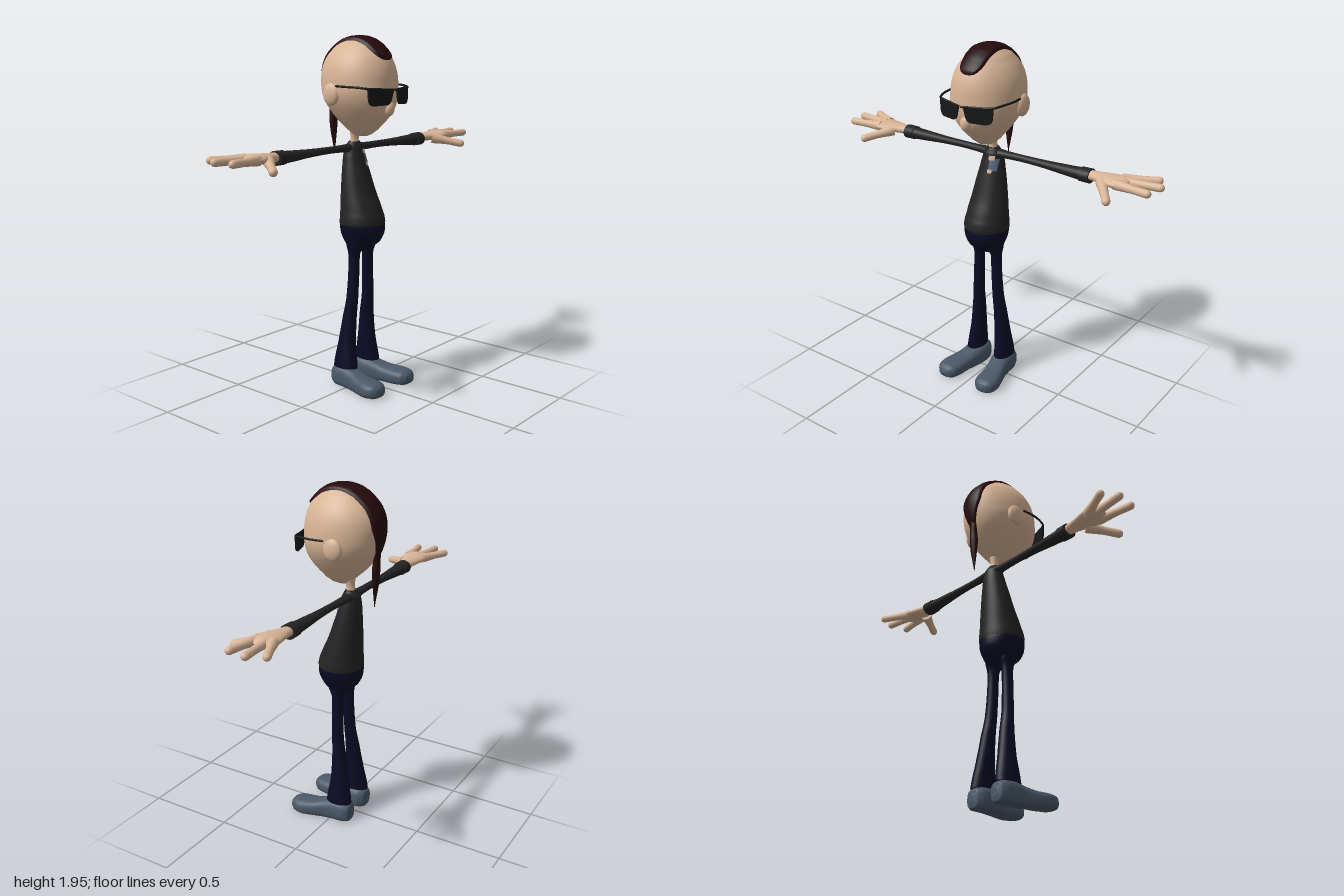
import * as THREE from 'three';

const material = (name, color) => Object.assign(new THREE.MeshStandardMaterial({ color }), { name });

// Catmull-Rom refinement of a list of cross-sections
function refine(rows, steps = 5) {
  const out = [];
  const cr = (a, b, c, d, t) =>
    0.5 * (2 * b + (c - a) * t + (2 * a - 5 * b + 4 * c - d) * t * t + (3 * b - a - 3 * c + d) * t * t * t);
  for (let i = 0; i < rows.length - 1; i++) {
    const a = rows[Math.max(i - 1, 0)], b = rows[i], c = rows[i + 1], d = rows[Math.min(i + 2, rows.length - 1)];
    for (let k = 0; k < steps; k++) {
      const t = k / steps;
      out.push(b.map((v, j) => (j === 0 ? v + (c[0] - v) * t : cr(a[j], v, c[j], d[j], t))));
    }
  }
  out.push(rows[rows.length - 1]);
  return out;
}

// Skin over sections [position, centre1, centre2, radius1, radius2] along axis 0, 1 or 2;
// 1 and 2 are the next two axes in cyclic order, and positions ascend
function loft(axis, rows, { sides = 28, power = 1, floor = -1 } = {}) {
  const secs = refine(rows), pos = [], idx = [];
  const bend = (v) => Math.sign(v) * Math.abs(v) ** power;
  const push = (t, a, b) => {
    const p = [0, 0, 0];
    p[axis] = t; p[(axis + 1) % 3] = a; p[(axis + 2) % 3] = b;
    p[1] = Math.max(p[1], floor);
    pos.push(...p);
  };
  const ring = ([t, c1, c2, r1, r2]) => {
    for (let j = 0; j < sides; j++) {
      const a = (j / sides) * Math.PI * 2;
      push(t, c1 + r1 * bend(Math.cos(a)), c2 + r2 * bend(Math.sin(a)));
    }
  };
  secs.forEach(ring);
  for (let i = 0; i < secs.length - 1; i++) for (let j = 0; j < sides; j++) {
    const a = i * sides + j, b = i * sides + (j + 1) % sides;
    idx.push(a, b, b + sides, a, b + sides, a + sides);
  }
  // end caps with their own vertices
  [secs[0], secs[secs.length - 1]].forEach((s, end) => {
    const base = pos.length / 3;
    ring(s);
    push(s[0], s[1], s[2]);
    for (let j = 0; j < sides; j++) {
      const a = base + j, b = base + (j + 1) % sides;
      idx.push(base + sides, ...(end ? [a, b] : [b, a]));
    }
  });
  return surface(pos, idx);
}

function surface(pos, idx) {
  const g = new THREE.BufferGeometry();
  g.setAttribute('position', new THREE.Float32BufferAttribute(pos, 3));
  g.setIndex(idx);
  g.computeVertexNormals();
  return g;
}

// Mirror a geometry in x, keeping its faces outward
function mirrored(geo) {
  const g = geo.clone().scale(-1, 1, 1);
  const src = g.index ? Array.from(g.index.array) : Array.from({ length: g.attributes.position.count }, (_, i) => i);
  for (let i = 0; i < src.length; i += 3) [src[i + 1], src[i + 2]] = [src[i + 2], src[i + 1]];
  g.setIndex(src);
  return g;
}

// Round-ended tapering finger from a to b
function finger(a, b, r0, r1) {
  const from = new THREE.Vector3(...a), d = new THREE.Vector3(...b).sub(from), L = d.length();
  const g = loft(0, [[0, 0, 0, r0, r0], [L * 0.5, 0, 0, r1, r1], [L - r1, 0, 0, r1, r1],
    [L - r1 * 0.4, 0, 0, r1 * 0.8, r1 * 0.8], [L - r1 * 0.1, 0, 0, r1 * 0.42, r1 * 0.42], [L, 0, 0, 0.001, 0.001]], { sides: 16 });
  g.applyQuaternion(new THREE.Quaternion().setFromUnitVectors(new THREE.Vector3(1, 0, 0), d.normalize()));
  return g.translate(...a);
}

const ball = (x, y, z, rx, ry, rz) => new THREE.SphereGeometry(1, 24, 16).scale(rx, ry, rz).translate(x, y, z);
// Section given as height, half width, front z and back z
const upright = ([y, rx, front, back]) => [y, (front + back) / 2, 0, (front - back) / 2, rx];

const HEAD = [[1.415, 0.025, 0.035, -0.04], [1.425, 0.045, 0.06, -0.055], [1.45, 0.075, 0.095, -0.085],
  [1.5, 0.115, 0.145, -0.14], [1.55, 0.15, 0.183, -0.182], [1.6, 0.178, 0.2, -0.212], [1.65, 0.193, 0.205, -0.228],
  [1.7, 0.193, 0.204, -0.236], [1.75, 0.187, 0.2, -0.236], [1.8, 0.173, 0.187, -0.226], [1.85, 0.147, 0.162, -0.2],
  [1.9, 0.108, 0.116, -0.152], [1.925, 0.077, 0.078, -0.112], [1.94, 0.042, 0.035, -0.066], [1.945, 0.003, -0.01, -0.016]].map(upright);
const TORSO = [[0.93, 0.127, 0.13, -0.122], [0.95, 0.127, 0.13, -0.122], [1, 0.119, 0.114, -0.12], [1.1, 0.104, 0.07, -0.118],
  [1.2, 0.087, 0.035, -0.116], [1.3, 0.067, 0.004, -0.113], [1.35, 0.055, -0.01, -0.105], [1.37, 0.042, -0.02, -0.092],
  [1.382, 0.034, -0.026, -0.084]].map(upright);

// Linear lookup of a section at height y
function sectionAt(secs, y) {
  const i = secs.findIndex((s, k) => k < secs.length - 1 && y >= s[0] && y <= secs[k + 1][0]);
  if (i < 0) return null;
  const t = (y - secs[i][0]) / (secs[i + 1][0] - secs[i][0]);
  return secs[i].map((v, j) => v + (secs[i + 1][j] - v) * t);
}

// Strip of hair wrapped over the skull, front to nape
function hairStrip() {
  const secs = refine(HEAD), C = new THREE.Vector3(0, 1.69, -0.018), pos = [], idx = [], N = 48, M = 14;
  const inside = (p) => {
    const s = sectionAt(secs, p.y);
    return s && ((p.z - s[1]) / s[3]) ** 2 + (p.x / s[4]) ** 2 < 1;
  };
  for (let i = 0; i <= N; i++) {
    const u = i / N, phi = THREE.MathUtils.degToRad(33 + u * 180);
    const front = Math.sqrt(1 - (1 - Math.min(u / 0.12, 1)) ** 2), back = Math.min(1, 0.12 + (1 - u) / 0.3);
    const w = (0.3 + 0.08 * u) * front * back + 0.004;
    for (let j = 0; j <= M; j++) {
      const s = (j / M) * 2 - 1, b = s * w;
      const d = new THREE.Vector3(Math.sin(b), Math.cos(b) * Math.sin(phi), Math.cos(b) * Math.cos(phi));
      let lo = 0, hi = 0.4;
      for (let k = 0; k < 22; k++) {
        const m = (lo + hi) / 2;
        if (inside(C.clone().addScaledVector(d, m))) lo = m; else hi = m;
      }
      const lift = i === 0 || i === N || Math.abs(s) === 1 ? -0.006 : 0.01;
      pos.push(...C.clone().addScaledVector(d, lo + lift).toArray());
      if (i < N && j < M) {
        const a = i * (M + 1) + j, c = a + M + 1;
        idx.push(a, a + 1, c + 1, a, c + 1, c);
      }
    }
  }
  return surface(pos, idx);
}

// Thin patch lying on the front of the shirt
function shirtPatch(x0, x1, y0, y1, lift) {
  const g = new THREE.PlaneGeometry(x1 - x0, y1 - y0, 6, 6).translate((x0 + x1) / 2, (y0 + y1) / 2, 0);
  const p = g.attributes.position, secs = refine(TORSO);
  for (let i = 0; i < p.count; i++) {
    const s = sectionAt(secs, p.getY(i));
    p.setZ(i, s[1] + s[3] * Math.sqrt(Math.max(0, 1 - (p.getX(i) / s[4]) ** 2)) + lift);
  }
  g.computeVertexNormals();
  return g;
}

export function createModel() {
  const model = new THREE.Group();
  const skin = material('skin', 0xd8b496), shirt = material('shirt', 0x232323), denim = material('trousers', 0x0a0a26);
  const hair = material('hair', 0x260a0d), black = material('glasses', 0x161717), shoe = material('shoes', 0x4b5969);
  const badge = material('badge', 0x56657a);
  badge.side = THREE.DoubleSide;
  const add = (name, geo, mat) => {
    const m = new THREE.Mesh(geo, mat);
    m.name = name;
    model.add(m);
  };
  const pair = (name, geo, mat) => {
    add('left ' + name, geo, mat);
    add('right ' + name, mirrored(geo), mat);
  };

  // Head
  add('head', loft(1, HEAD, { sides: 48 }), skin);
  add('nose', ball(0, 1.572, 0.188, 0.03, 0.042, 0.03), skin);
  pair('ear', ball(0.187, 1.645, -0.055, 0.026, 0.06, 0.054), skin);
  add('neck', loft(1, [[1.35, -0.055, 0, 0.03, 0.03], [1.4, -0.052, 0, 0.023, 0.023], [1.46, -0.045, 0, 0.035, 0.035]]), skin);
  add('hair strip', hairStrip(), hair);
  add('ponytail', loft(1, [[1.31, -0.2, 0, 0.002, 0.002], [1.36, -0.202, 0, 0.007, 0.01], [1.43, -0.205, 0, 0.015, 0.021],
    [1.5, -0.206, 0, 0.021, 0.026], [1.55, -0.208, 0, 0.019, 0.022], [1.6, -0.214, 0, 0.014, 0.026], [1.64, -0.22, 0, 0.01, 0.02]], { sides: 16 }), hair);

  // Sunglasses
  const lens = new THREE.Shape();
  lens.moveTo(0.014, 1.676).lineTo(0.168, 1.682).lineTo(0.163, 1.62);
  lens.quadraticCurveTo(0.158, 1.59, 0.13, 1.59).lineTo(0.06, 1.592).quadraticCurveTo(0.032, 1.594, 0.026, 1.63);
  const lensGeo = new THREE.ExtrudeGeometry(lens, { depth: 0.012, bevelEnabled: false, curveSegments: 8 });
  const lp = lensGeo.attributes.position;
  for (let i = 0; i < lp.count; i++) lp.setZ(i, lp.getZ(i) + 0.226 - lp.getX(i) * 0.3);
  lensGeo.computeVertexNormals();
  pair('lens', lensGeo, black);
  const wire = [[0.2, 1.69, -0.01], [0.202, 1.688, 0.06], [0.19, 1.686, 0.13], [0.166, 1.68, 0.182], [0.09, 1.676, 0.206], [0, 1.672, 0.232]];
  pair('frame', new THREE.TubeGeometry(new THREE.CatmullRomCurve3(wire.map((p) => new THREE.Vector3(...p))), 30, 0.006, 8), black);

  // Shirt
  add('shirt body', loft(1, TORSO, { sides: 40 }), shirt);
  pair('sleeve', loft(0, [[0.02, 1.346, -0.06, 0.026, 0.034], [0.08, 1.347, -0.06, 0.021, 0.025], [0.2, 1.348, -0.06, 0.019, 0.021],
    [0.35, 1.347, -0.06, 0.022, 0.026], [0.5, 1.345, -0.06, 0.03, 0.035], [0.57, 1.345, -0.06, 0.033, 0.038]]), shirt);
  pair('cuff', loft(0, [[0.55, 1.345, -0.06, 0.037, 0.044], [0.608, 1.345, -0.06, 0.038, 0.045]]), shirt);
  add('badge', shirtPatch(0.015, 0.058, 1.262, 1.325, 0.004), badge);
  add('badge upper patch', shirtPatch(0.008, 0.04, 1.318, 1.342, 0.005), skin);
  add('badge lower patch', shirtPatch(0.012, 0.036, 1.25, 1.27, 0.005), skin);

  // Hands
  pair('palm', loft(0, [[0.59, 1.35, -0.06, 0.025, 0.031], [0.64, 1.352, -0.058, 0.025, 0.039], [0.7, 1.355, -0.05, 0.026, 0.058],
    [0.76, 1.357, -0.047, 0.027, 0.073], [0.8, 1.359, -0.05, 0.025, 0.07], [0.825, 1.36, -0.052, 0.016, 0.052], [0.835, 1.36, -0.052, 0.003, 0.03]]), skin);
  pair('outer finger', finger([0.77, 1.357, -0.09], [0.95, 1.36, -0.178], 0.028, 0.021), skin);
  pair('middle finger', finger([0.77, 1.358, -0.06], [1.0, 1.362, -0.085], 0.028, 0.021), skin);
  pair('index finger', finger([0.77, 1.357, -0.006], [0.98, 1.36, 0.025], 0.028, 0.021), skin);
  pair('thumb', finger([0.69, 1.345, -0.02], [0.805, 1.308, 0.135], 0.032, 0.022), skin);

  // Trousers
  add('hips', loft(1, [[0.782, -0.004, 0, 0.04, 0.076], [0.8, -0.002, 0, 0.066, 0.088], [0.83, 0.003, 0, 0.1, 0.1],
    [0.87, 0.005, 0, 0.122, 0.114], [0.91, 0.005, 0, 0.126, 0.124], [0.945, 0.004, 0, 0.122, 0.124]], { sides: 40 }), denim);
  pair('trouser leg', loft(1, [[0.108, -0.038, 0.097, 0.078, 0.05], [0.25, -0.036, 0.086, 0.055, 0.043], [0.4, -0.026, 0.075, 0.041, 0.037],
    [0.5, -0.014, 0.068, 0.034, 0.033], [0.65, -0.008, 0.061, 0.032, 0.03], [0.76, -0.007, 0.058, 0.035, 0.03], [0.82, -0.003, 0.055, 0.055, 0.042]]), denim);

  // Shoes, flat underneath
  pair('shoe', loft(2, [[-0.122, 0.095, 0.05, 0.015, 0.02], [-0.114, 0.093, 0.05, 0.042, 0.05], [-0.08, 0.09, 0.05, 0.06, 0.066],
    [-0.02, 0.092, 0.05, 0.063, 0.068], [0.04, 0.102, 0.042, 0.06, 0.06], [0.1, 0.118, 0.036, 0.064, 0.05], [0.17, 0.13, 0.034, 0.07, 0.047],
    [0.22, 0.132, 0.034, 0.06, 0.042], [0.245, 0.132, 0.034, 0.038, 0.028], [0.254, 0.132, 0.034, 0.012, 0.01]], { power: 0.75, floor: 0 }), shoe);

  return model;
}
